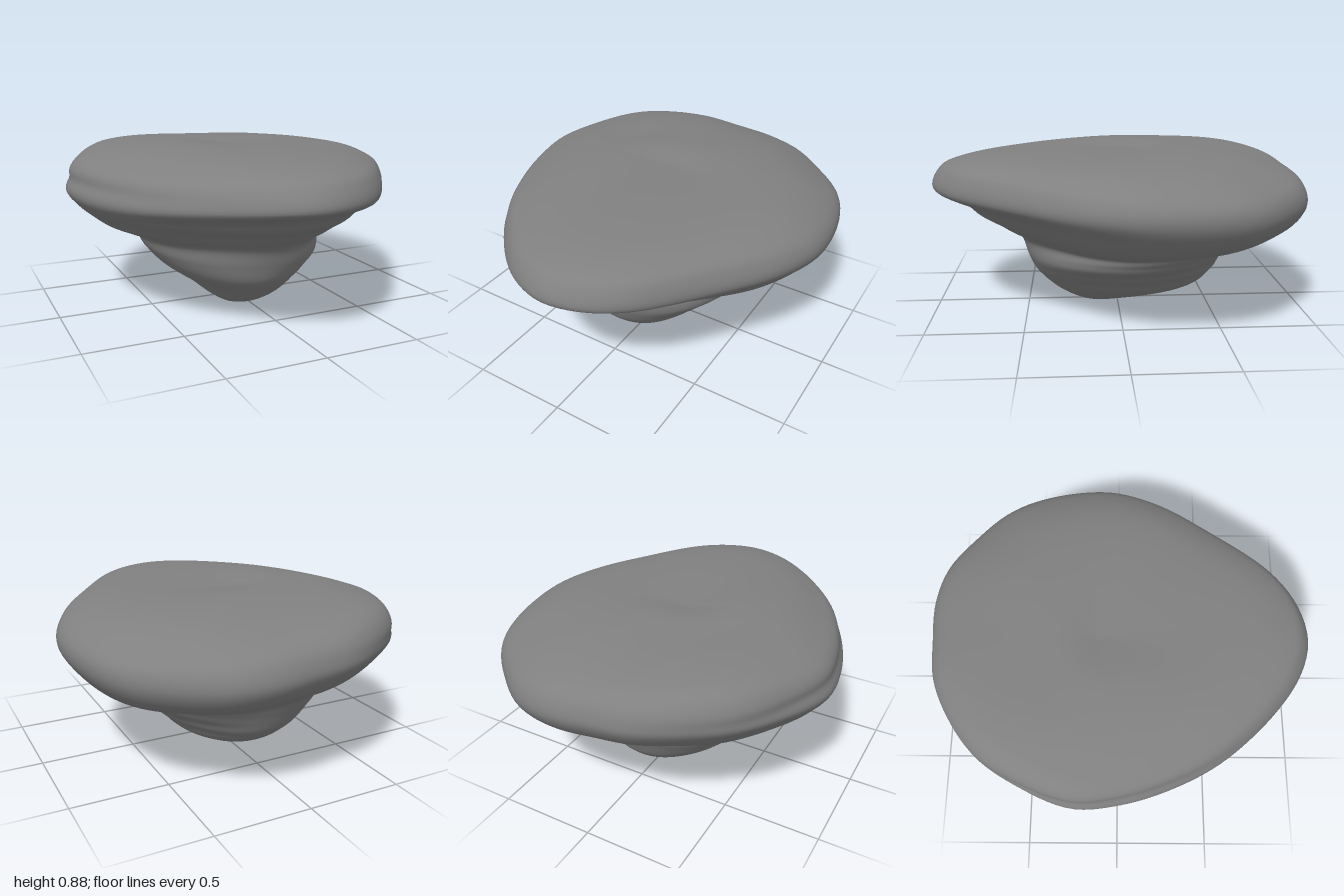
import * as THREE from 'three';

const AROUND = 128, DOWN = 110, HALF_WIDTH = 0.885;
const { lerp, smoothstep } = THREE.MathUtils;

// Plan of the rim (x, z), from the front point round by the left side
const RIM = [
  [-0.02, 1], [0.17, 0.96], [0.35, 0.84], [0.61, 0.51], [0.79, 0.23], [0.88, -0.03], [0.88, -0.26], [0.825, -0.5],
  [0.74, -0.66], [0.585, -0.815], [0.4, -0.95], [0.2, -1], [-0.03, -0.99], [-0.24, -0.965], [-0.45, -0.87], [-0.645, -0.72],
  [-0.79, -0.49], [-0.885, -0.23], [-0.868, 0], [-0.79, 0.26], [-0.65, 0.53], [-0.4, 0.81], [-0.2, 0.95],
];

// Profiles (reach, height) down each side, from the middle of the top to the lowest point
const LEFT = [[-0.05, 0.856], [0.3, 0.861], [0.62, 0.84], [0.8, 0.785], [0.875, 0.72], [0.885, 0.64], [0.83, 0.55],
  [0.74, 0.455], [0.63, 0.4], [0.51, 0.365], [0.48, 0.3], [0.37, 0.2], [0.26, 0.1], [0.16, 0.045], [0.06, 0.01], [-0.04, 0]];
const RIGHT = [[-0.05, 0.856], [-0.33, 0.882], [-0.56, 0.857], [-0.74, 0.8], [-0.85, 0.74], [-0.89, 0.61], [-0.82, 0.52],
  [-0.73, 0.45], [-0.63, 0.41], [-0.52, 0.365], [-0.475, 0.29], [-0.4, 0.2], [-0.26, 0.1], [-0.19, 0.045], [-0.12, 0.01], [-0.04, 0]];
const FRONT = [[-0.1, 0.856], [0.3, 0.868], [0.68, 0.852], [0.88, 0.815], [0.965, 0.765], [1, 0.665], [0.86, 0.605],
  [0.76, 0.53], [0.65, 0.46], [0.54, 0.39], [0.5, 0.29], [0.455, 0.19], [0.36, 0.1], [0.27, 0.04], [0.2, 0.01], [0.13, 0]];
const BACK = [[-0.1, 0.856], [-0.3, 0.874], [-0.6, 0.85], [-0.82, 0.805], [-0.95, 0.745], [-0.995, 0.64], [-0.94, 0.54],
  [-0.85, 0.48], [-0.73, 0.425], [-0.64, 0.37], [-0.6, 0.3], [-0.55, 0.19], [-0.42, 0.1], [-0.15, 0.07], [0.04, 0.018], [0.13, 0]];

// Ledges (+) and grooves (-): angle from the front towards the left, height, amount, spread round, spread up
const RELIEF = [
  [-1.7, 0.69, -0.018, 0.6, 0.03],
  [-0.6, 0.54, 0.02, 0.6, 0.025],
  [-0.6, 0.48, -0.02, 0.6, 0.025],
  [-2.36, 0.32, 0.05, 0.5, 0.1],
  [2.36, 0.25, -0.05, 0.4, 0.12],
  [1.7, 0.31, -0.02, 0.6, 0.018],
  [1.7, 0.24, -0.025, 0.6, 0.018],
  [1.7, 0.17, -0.025, 0.6, 0.018],
];

// 1 at angle zero, falling off smoothly either way round
const falloff = (angle, spread) => Math.exp((Math.cos(angle) - 1) / spread ** 2);

function relief(angle, y) {
  return RELIEF.reduce((sum, [a, h, amount, round, up]) =>
    sum + amount * falloff(angle - a, round) * Math.exp(-(((y - h) / up) ** 2)), 1);
}

function profileCurve(points) {
  return new THREE.CatmullRomCurve3(points.map(([r, y]) => new THREE.Vector3(r, y, 0)), false, 'catmullrom', 0.5);
}

function rockGeometry() {
  const rim = new THREE.CatmullRomCurve3(RIM.map(([x, z]) => new THREE.Vector3(x, 0, z)), true).getSpacedPoints(AROUND);
  const [left, right, front, back] = [LEFT, RIGHT, FRONT, BACK].map(profileCurve);
  const positions = [], indices = [];

  for (let i = 0; i <= DOWN; i++) {
    const t = i / DOWN;
    const [l, r, f, b] = [left, right, front, back].map((c) => c.getPoint(t));
    const stem = 0.8 * smoothstep(t, 0.5, 0.7);
    const edge = smoothstep(t, 0.08, 0.24) * (1 - smoothstep(t, 0.36, 0.58));
    for (let j = 0; j < AROUND; j++) {
      // the plan turns from the rim's teardrop to an oval round the stem
      const px = rim[j].x / HALF_WIDTH, pz = rim[j].z;
      const rounding = lerp(1, 1 / Math.hypot(px, pz), stem);
      const nx = px * rounding, nz = pz * rounding;
      const angle = Math.atan2(nx, nz);
      const side = Math.sin(angle) ** 2;
      // the rim rises at the back right and dips at the back left
      const lift = edge * (0.055 * falloff(angle + 2.4, 0.45) - 0.035 * falloff(angle - 2.36, 0.5));
      const y = side * (nx > 0 ? l.y : r.y) + (1 - side) * (nz > 0 ? f.y : b.y) + lift;
      // stretch the plan to fit between the four profiles
      const bulge = relief(angle, y);
      positions.push(lerp(r.x, l.x, (nx + 1) / 2) * bulge, Math.max(0, y), lerp(b.x, f.x, (nz + 1) / 2) * bulge);

      if (i < DOWN) {
        const a = i * AROUND + j, a2 = i * AROUND + (j + 1) % AROUND;
        indices.push(a, a + AROUND, a2, a2, a + AROUND, a2 + AROUND);
      }
    }
  }

  const geometry = new THREE.BufferGeometry();
  geometry.setAttribute('position', new THREE.Float32BufferAttribute(positions, 3));
  geometry.setIndex(indices);
  geometry.computeVertexNormals();
  // the closing rings are single points, so give them straight normals
  const normal = geometry.attributes.normal;
  for (let j = 0; j < AROUND; j++) {
    normal.setXYZ(j, 0, 1, 0);
    normal.setXYZ(DOWN * AROUND + j, 0, -1, 0);
  }
  return geometry;
}

export function createModel() {
  const model = new THREE.Group();
  model.name = 'floatingRock';
  const rock = new THREE.Mesh(rockGeometry(), new THREE.MeshStandardMaterial({ color: 0x808080 }));
  rock.name = 'rock';
  model.add(rock);
  return model;
}
